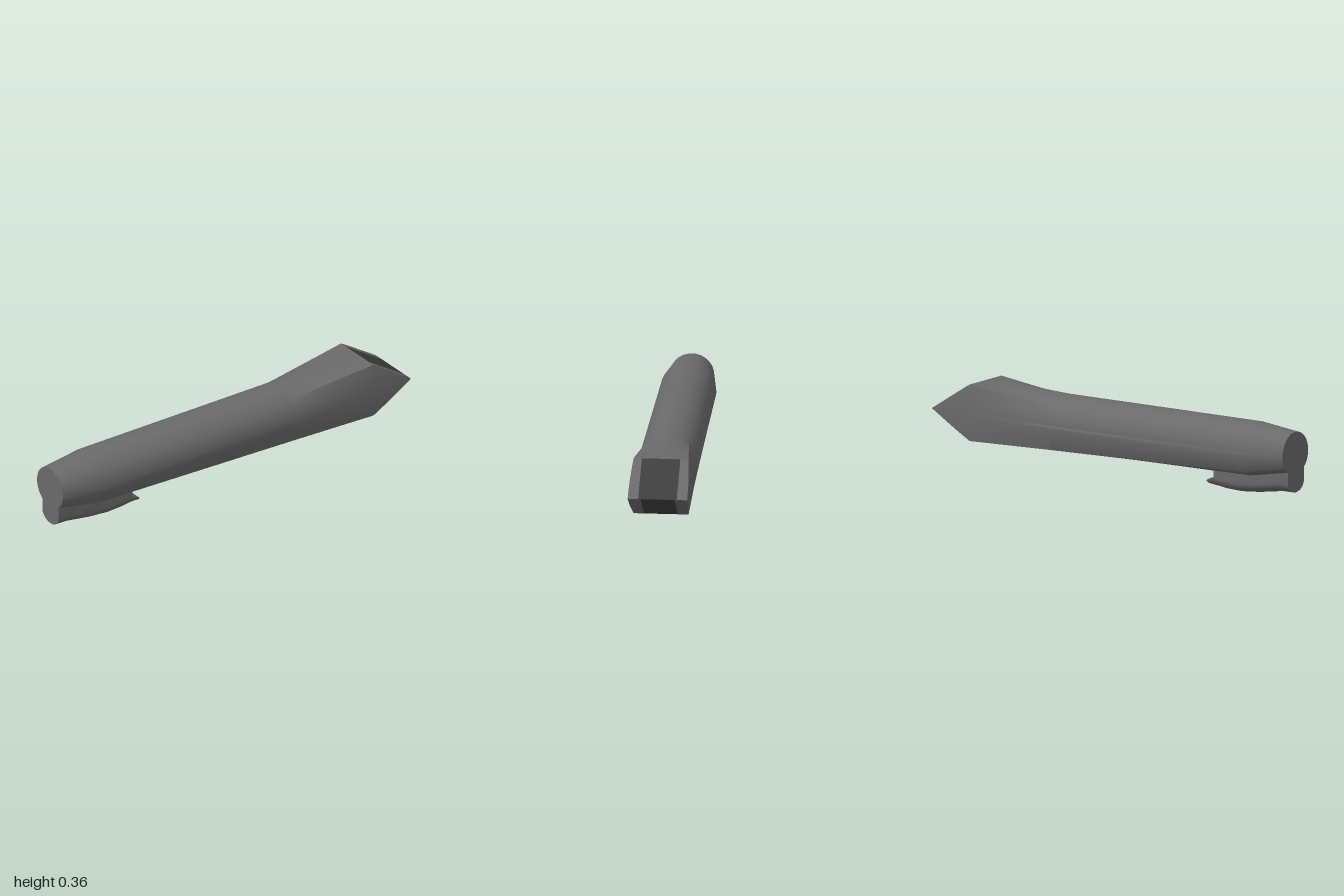
import * as THREE from 'three';
import { toCreasedNormals } from 'three/addons/utils/BufferGeometryUtils.js';

const SEG = 64, MID_Y = 0.224, HALF_H = 0.136, HEAD_X = 0.79, NECK_X = 0.33;

function geometryFrom(points, crease = 0.45) {
  const g = new THREE.BufferGeometry().setFromPoints(points);
  return toCreasedNormals(g, crease);
}

// Skins closed rings that follow each other along +x, with optional end caps
function loft(rings, capStart, capEnd) {
  const pts = [], n = rings[0].length;
  for (let i = 0; i < rings.length - 1; i++) {
    for (let j = 0; j < n; j++) {
      const k = (j + 1) % n;
      const [a, b, c, d] = [rings[i][j], rings[i][k], rings[i + 1][j], rings[i + 1][k]];
      pts.push(a, b, c, b, d, c);
    }
  }
  const cap = (ring, flip) => {
    const mid = new THREE.Vector3();
    ring.forEach((p) => mid.addScaledVector(p, 1 / n));
    for (let j = 0; j < n; j++) {
      const a = ring[j], b = ring[(j + 1) % n];
      pts.push(mid, flip ? b : a, flip ? a : b);
    }
  };
  if (capStart) cap(rings[0], true);
  if (capEnd) cap(rings[rings.length - 1], false);
  return geometryFrom(pts);
}

const makeRing = (f) => Array.from({ length: SEG }, (_, j) => f((j / SEG) * Math.PI * 2));

// Square head section with gently bowed sides
const sideZ = (v) => 0.13 + 0.011 * (1 - v * v);
function square(a, wedge) {
  const s = Math.sin(a), c = Math.cos(a), m = Math.max(Math.abs(s), Math.abs(c));
  const u = s / m, v = c / m;
  const x = wedge ? HEAD_X + (1 - HEAD_X) * (1 - Math.abs(v)) : HEAD_X;
  return new THREE.Vector3(x, MID_Y + v * HALF_H, u * sideZ(v));
}

// Barrel section: round above, its lower half squared off by the given amount
function round(x, cy, ry, rz, squared, a) {
  const p = new THREE.Vector3(x, cy + ry * Math.cos(a), 0.003 + rz * Math.sin(a));
  if (Math.cos(a) < -0.001) {
    const q = square(a, false);
    q.x = x;
    p.lerp(q, squared);
  }
  return p;
}
const neck = (a) => round(NECK_X, 0.215, 0.132, 0.137, 0.72, a);

// One strip of a sloping wedge face between two edges z0(v) and z1(v)
function wedgeStrip(sign, z0, z1) {
  const pts = [], N = 8;
  const P = (zf, v) =>
    new THREE.Vector3(HEAD_X + (1 - HEAD_X) * (1 - v), MID_Y + sign * v * HALF_H, zf(v));
  for (let i = 0; i < N; i++) {
    const v0 = i / N, v1 = (i + 1) / N;
    const a = P(z0, v0), b = P(z1, v0), c = P(z1, v1), d = P(z0, v1);
    if (sign > 0) pts.push(a, c, b, a, d, c);
    else pts.push(a, b, c, a, c, d);
  }
  return geometryFrom(pts);
}

// Thin panel that follows the underside of the head, rounded at its rear end
function undersidePanel() {
  const pts = [], N = 24, M = 12;
  const P = (i, j) => {
    const t = (i / N) ** 2;
    const half = 0.53 * Math.sqrt(1 - (1 - Math.min(1, t / 0.15)) ** 2);
    const a = Math.PI + half * ((j / M) * 2 - 1);
    const p = neck(a).lerp(square(a, false), 0.03 + 0.97 * t);
    p.y -= 0.002;
    return p;
  };
  for (let i = 0; i < N; i++) {
    for (let j = 0; j < M; j++) {
      const a = P(i, j), b = P(i, j + 1), c = P(i + 1, j), d = P(i + 1, j + 1);
      pts.push(a, b, c, b, d, c);
    }
  }
  return geometryFrom(pts);
}

// U-shaped clip section: flat top, straight sides, rounded bottom
function clipRing(x, bottom, top) {
  const w = 0.065, shoulder = Math.min(bottom + 0.05, top - 0.001), ring = [];
  for (let j = 0; j <= 20; j++) {
    const a = (j / 20) * Math.PI;
    ring.push(new THREE.Vector3(x, shoulder - (shoulder - bottom) * Math.sin(a), 0.007 + w * Math.cos(a)));
  }
  ring.push(new THREE.Vector3(x, top, 0.007 - w), new THREE.Vector3(x, top, 0.007 + w));
  return ring;
}

export function createModel() {
  const group = new THREE.Group();
  const casing = new THREE.MeshStandardMaterial({ color: 0x6a6a6a });
  casing.name = 'casing grey';
  const dark = new THREE.MeshStandardMaterial({ color: 0x3e3e3e });
  dark.name = 'dark grey';

  const add = (name, geometry, material) => {
    const mesh = new THREE.Mesh(geometry, material);
    mesh.name = name;
    group.add(mesh);
  };

  // Barrel with tapered rear
  add('barrel', loft([
    makeRing((a) => round(-1, 0.218, 0.103, 0.104, 0, a)),
    makeRing((a) => round(-0.78, 0.215, 0.131, 0.131, 0.2, a)),
    makeRing(neck),
  ], true, false), casing);

  // Head: neck blends in straight lines to a square block, then the wedge outline
  const headRings = [];
  for (let i = 0; i <= 16; i++) {
    headRings.push(makeRing((a) => neck(a).lerp(square(a, false), i / 16)));
  }
  headRings.push(makeRing((a) => square(a, true)));
  add('head', loft(headRings, false, false), casing);

  // Wedge faces: dark centre panel between two casing strips
  for (const [side, sign, half] of [['upper', 1, 0.091], ['lower', -1, 0.08]]) {
    add(side + 'WedgePanel', wedgeStrip(sign, () => -half, () => half), dark);
    add(side + 'WedgeStripLeft', wedgeStrip(sign, () => half, sideZ), casing);
    add(side + 'WedgeStripRight', wedgeStrip(sign, (v) => -sideZ(v), () => -half), casing);
  }
  add('undersidePanel', undersidePanel(), dark);

  // Pocket clip under the rear end: x, bottom, top
  const clip = [
    [-1, 0.03, 0.15], [-0.94, 0.03, 0.15], [-0.88, 0.021, 0.15], [-0.8, 0.009, 0.15],
    [-0.7, 0.001, 0.15], [-0.62, 0.005, 0.15], [-0.571, 0.012, 0.12],
    [-0.57, 0.012, 0.064], [-0.545, 0.016, 0.054], [-0.53, 0.021, 0.045],
  ];
  add('clip', loft(clip.map((c) => clipRing(...c)), true, true), casing);

  return group;
}
